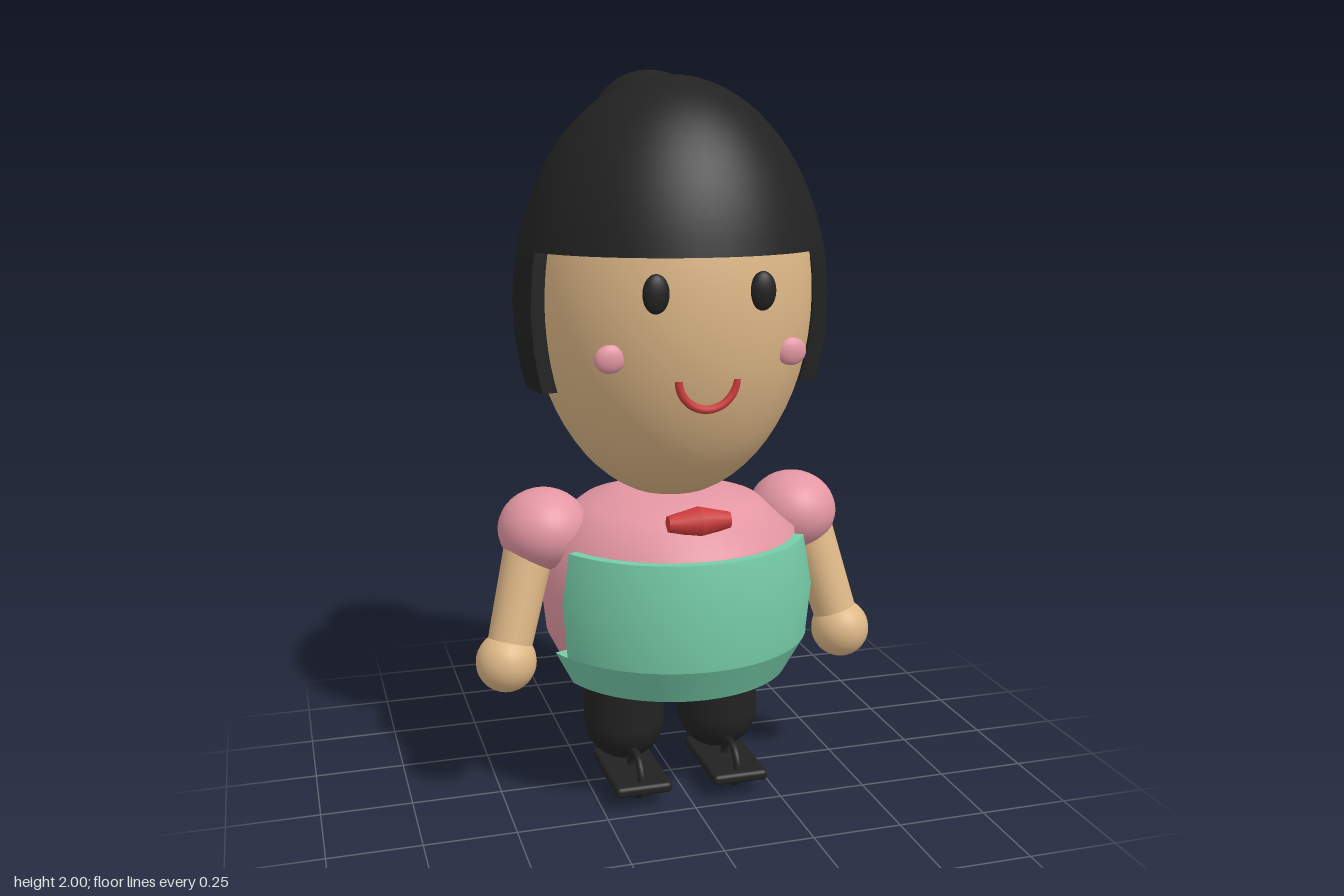
import * as THREE from 'three';
import { RoundedBoxGeometry } from 'three/addons/geometries/RoundedBoxGeometry.js';

const paint = (name, color, side = THREE.FrontSide) => {
  const m = new THREE.MeshStandardMaterial({ color, side });
  m.name = name;
  return m;
};

export function createModel() {
  const model = new THREE.Group();
  model.name = 'doll';
  const black = paint('black', 0x222222, THREE.DoubleSide);
  const skin = paint('skin', 0xdeb887);
  const pink = paint('pink', 0xe497a3);
  const green = paint('apron green', 0x76cca8, THREE.DoubleSide);
  const red = paint('red', 0xcc3b3b);

  const add = (name, geometry, material, x = 0, y = 0, z = 0, parent = model) => {
    const mesh = new THREE.Mesh(geometry, material);
    mesh.name = name;
    mesh.position.set(x, y, z);
    parent.add(mesh);
    return mesh;
  };
  const ellipsoid = (rx, ry, rz, w = 32, h = 20) =>
    new THREE.SphereGeometry(1, w, h).scale(rx, ry, rz);
  const v2 = ([x, y]) => new THREE.Vector2(x, y);

  // Thick revolved shell between an outer and an inner profile (both bottom to top), capped when partial
  const shell = (name, outer, inner, material, start = 0, sweep = Math.PI * 2, depth = 1) => {
    const group = new THREE.Group();
    group.name = name;
    const o = outer.map(v2), i = inner.map(v2).reverse();
    // repeated corner points keep the rims sharp
    const loop = [...o, o[o.length - 1], i[0], ...i, i[i.length - 1], o[0]];
    add(name + 'Shell', new THREE.LatheGeometry(loop, 64, start, sweep), material, 0, 0, 0, group);
    if (sweep < Math.PI * 2) {
      for (const phi of [start, start + sweep]) {
        const cap = new THREE.ShapeGeometry(new THREE.Shape([...o, ...i]));
        add(name + 'Edge', cap.rotateY(phi - Math.PI / 2), material, 0, 0, 0, group);
      }
    }
    group.scale.z = depth;
    model.add(group);
  };

  // Points on an upright ellipse between two heights
  const arc = (r, h, cy, y0, y1, n) => {
    const a0 = Math.asin((y0 - cy) / h), a1 = Math.asin(Math.min(1, (y1 - cy) / h));
    return Array.from({ length: n + 1 }, (_, k) => {
      const a = a0 + (a1 - a0) * k / n;
      return [Math.max(0, r * Math.cos(a)), cy + h * Math.sin(a)];
    });
  };

  // Head and hair: full cap down to the fringe, longer sides and back
  add('head', ellipsoid(0.385, 0.56, 0.37, 48, 32), skin, 0, 1.4, 0);
  shell('hairCap', arc(0.43, 0.6, 1.38, 1.53, 1.98, 16), arc(0.39, 0.565, 1.39, 1.53, 1.955, 16),
    black, 0, Math.PI * 2, 0.942);
  const cut = 1.265;
  shell('hairBack', arc(0.43, 0.6, 1.38, 1.16, 1.53, 10), arc(0.39, 0.565, 1.39, 1.16, 1.53, 10),
    black, cut, Math.PI * 2 - 2 * cut, 0.942);
  add('hairBun', ellipsoid(0.172, 0.172, 0.172), black, 0, 1.828, -0.213);

  // Smile
  const smile = new THREE.TorusGeometry(0.077, 0.011, 10, 24, Math.PI).rotateZ(Math.PI);
  add('mouth', smile, red, 0, 1.217, 0.336);

  // Dress body
  const bodyProfile = [[0, 0.37], [0.31, 0.37], [0.31, 0.37], [0.355, 0.46], [0.37, 0.6], [0.347, 0.75],
    [0.25, 0.825], [0.14, 0.86], [0, 0.86]];
  add('dress', new THREE.LatheGeometry(bodyProfile.map(v2), 48), pink);

  // Apron: bib panel and a wider lower band
  const panel = 1.085, band = 1.23;
  shell('apronPanel', [[0.385, 0.45], [0.4, 0.6], [0.376, 0.74]], [[0.345, 0.45], [0.36, 0.6], [0.34, 0.74]],
    green, -panel, panel * 2);
  shell('apronBand', [[0.33, 0.35], [0.385, 0.45]], [[0.295, 0.35], [0.345, 0.45]],
    green, -band, band * 2);

  // Bow at the neckline
  for (const s of [-1, 1]) {
    const wing = new THREE.CylinderGeometry(0.022, 0.042, 0.085, 12).rotateZ(-s * Math.PI / 2);
    add('bowWing', wing, red, s * 0.0425, 0.825, 0.265);
  }

  // Mirrored parts
  for (const s of [-1, 1]) {
    const side = s > 0 ? 'left' : 'right';
    add(side + 'Eye', ellipsoid(0.035, 0.05, 0.02, 20, 14), black, s * 0.14, 1.44, 0.35);
    add(side + 'Cheek', ellipsoid(0.041, 0.037, 0.018, 20, 14), pink, s * 0.243, 1.273, 0.288);
    add(side + 'Sleeve', ellipsoid(0.125, 0.113, 0.13), pink, s * 0.365, 0.765, 0);

    // Arm from shoulder to hand
    const from = new THREE.Vector3(s * 0.4, 0.75, 0.01), to = new THREE.Vector3(s * 0.49, 0.42, 0.08);
    const dir = from.clone().sub(to);
    const mid = from.clone().add(to).multiplyScalar(0.5);
    const arm = add(side + 'Arm', new THREE.CylinderGeometry(0.07, 0.06, dir.length(), 24), skin, mid.x, mid.y, mid.z);
    arm.quaternion.setFromUnitVectors(new THREE.Vector3(0, 1, 0), dir.normalize());
    add(side + 'Hand', ellipsoid(0.083, 0.083, 0.083, 24, 16), skin, to.x, to.y, to.z);

    // Leg, sandal sole and toe ring
    add(side + 'Leg', new THREE.CapsuleGeometry(0.115, 0.2, 10, 28), black, s * 0.14, 0.285, 0.003);
    add(side + 'Sole', new RoundedBoxGeometry(0.16, 0.03, 0.29, 3, 0.012), black, s * 0.14, 0.058, 0.083);
    add(side + 'SandalRing', new THREE.TorusGeometry(0.059, 0.011, 10, 28).rotateY(Math.PI / 2), black, s * 0.14, 0.07, 0.135);
  }
  return model;
}
